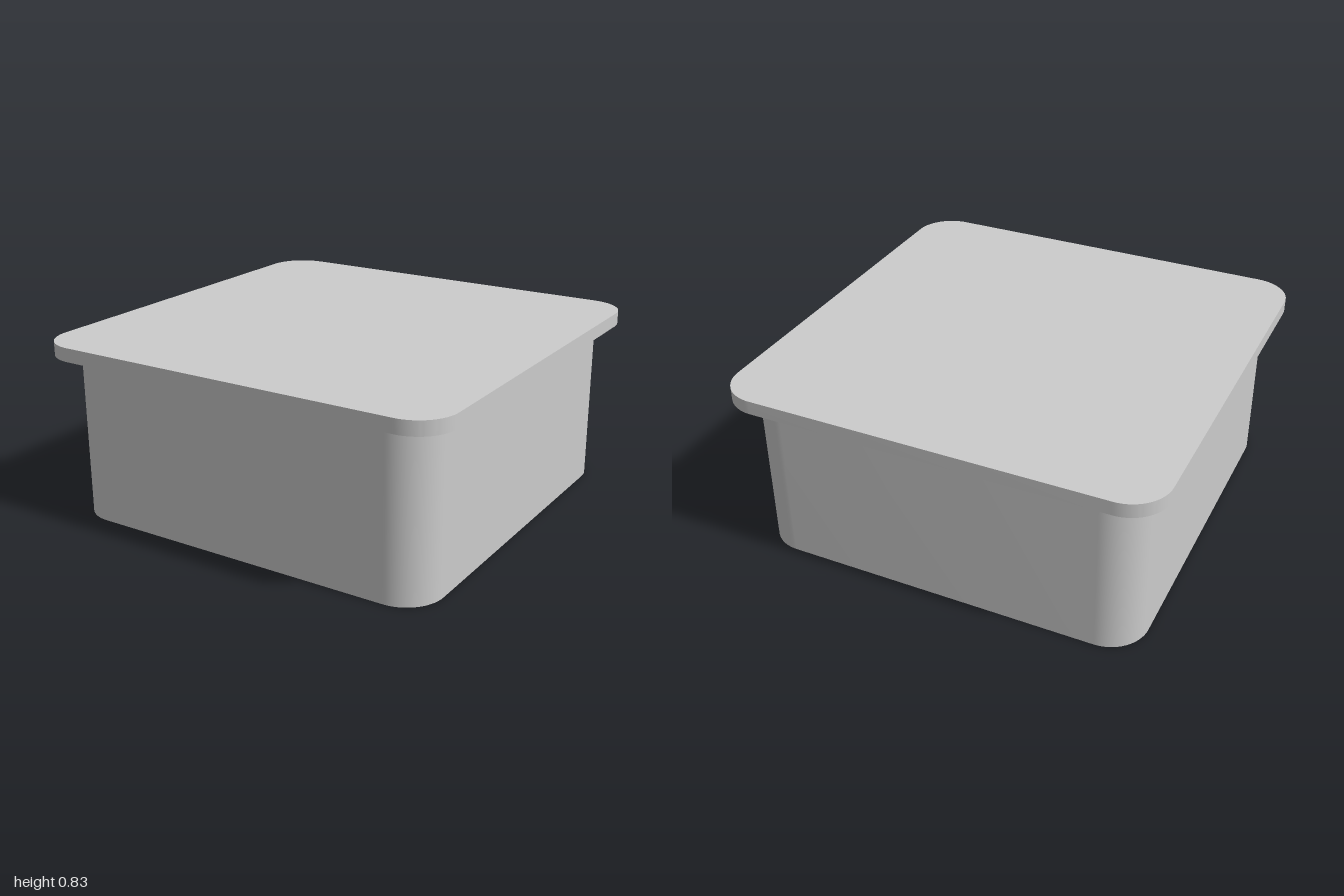
import * as THREE from 'three';
import { toCreasedNormals } from 'three/addons/utils/BufferGeometryUtils.js';

const material = new THREE.MeshStandardMaterial({ color: 0xcccccc });

// Rounded square outline centred on the origin
function roundedSquare(half, radius, Type = THREE.Shape) {
  const c = half - radius;
  const outline = new Type();
  outline.absarc(c, c, radius, 0, Math.PI / 2);
  outline.absarc(-c, c, radius, Math.PI / 2, Math.PI);
  outline.absarc(-c, -c, radius, Math.PI, Math.PI * 1.5);
  outline.absarc(c, -c, radius, Math.PI * 1.5, Math.PI * 2);
  outline.closePath();
  return outline;
}

// Upright slab of the given outline between two heights
function slab(name, shape, bottom, top) {
  const geometry = new THREE.ExtrudeGeometry(shape, {
    depth: top - bottom, bevelEnabled: false, curveSegments: 12,
  });
  geometry.rotateX(-Math.PI / 2);
  geometry.translate(0, bottom, 0);
  const mesh = new THREE.Mesh(toCreasedNormals(geometry, 0.5), material);
  mesh.name = name;
  return mesh;
}

export function createModel() {
  const model = new THREE.Group();
  model.name = 'liddedBox';

  const half = 0.917, radius = 0.18, wall = 0.005;
  const lidBottom = 0.77, lidTop = 0.834;

  // Thin side walls running down past the floor
  const wallShape = roundedSquare(half, radius);
  wallShape.holes.push(roundedSquare(half - wall, radius - wall, THREE.Path));
  model.add(slab('walls', wallShape, 0, lidBottom));

  // Floor, slightly recessed above the bottom edge
  model.add(slab('floor', roundedSquare(half - wall, radius - wall), 0.03, 0.06));

  // Overhanging flat lid
  model.add(slab('lid', roundedSquare(1, radius), lidBottom, lidTop));

  return model;
}
